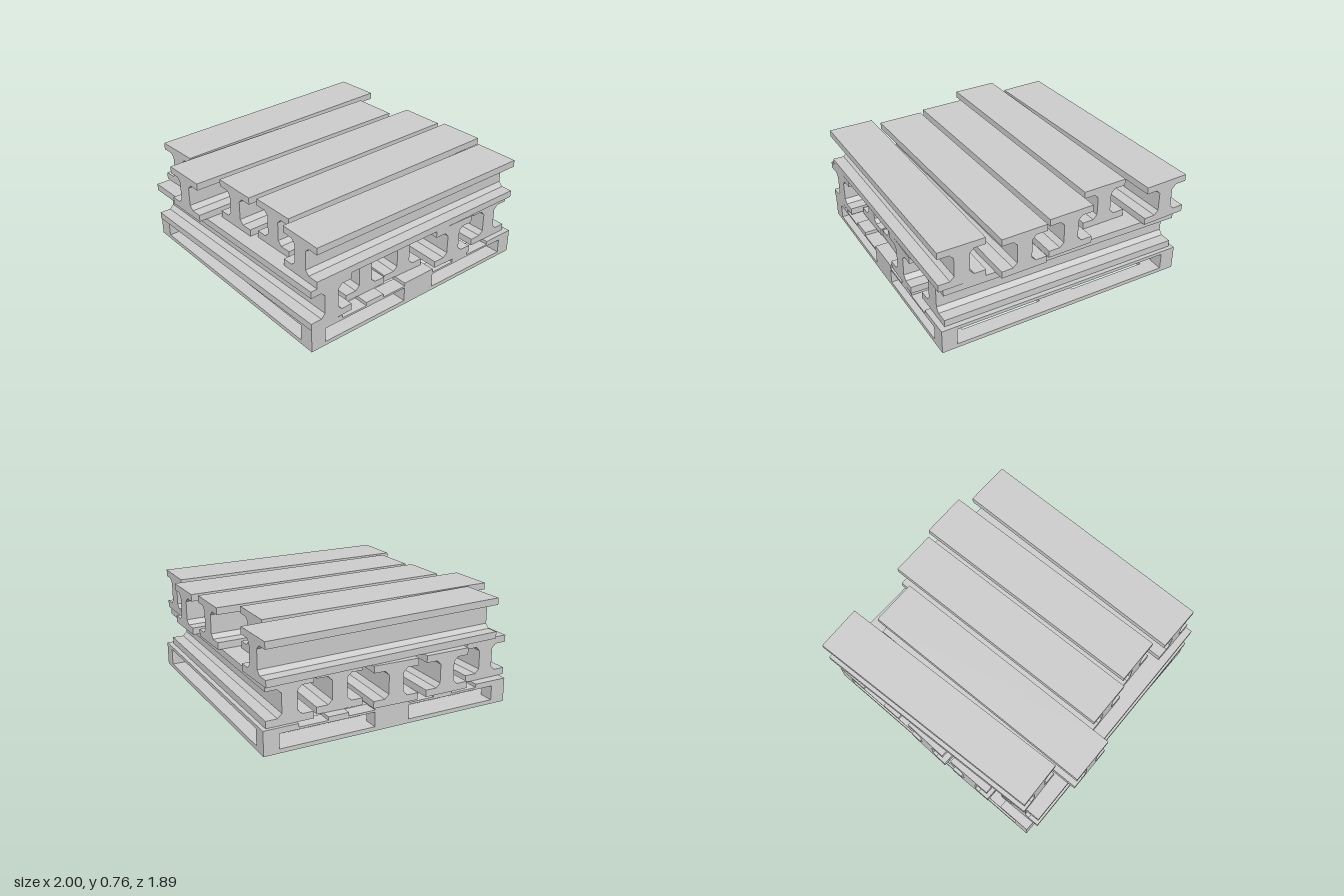
import * as THREE from 'three';

export function createModel() {
  const model = new THREE.Group();
  const material = new THREE.MeshStandardMaterial({ color: 0xcccccc, flatShading: true });

  // ---- Pallet: boards given by their x, y and z ranges ----
  const pallet = new THREE.Group();
  pallet.name = 'pallet';
  model.add(pallet);
  const board = (name, [x0, x1], [y0, y1], [z0, z1]) => {
    const mesh = new THREE.Mesh(new THREE.BoxGeometry(x1 - x0, y1 - y0, z1 - z0), material);
    mesh.position.set((x0 + x1) / 2, (y0 + y1) / 2, (z0 + z1) / 2);
    mesh.name = name;
    pallet.add(mesh);
  };
  const xMin = -0.91, xMax = 0.955, zMin = -0.915, zMax = 0.94;
  const columns = [[xMin, -0.8], [-0.11, 0.155], [0.845, xMax]];
  const ends = [[zMin, zMin + 0.11], [zMax - 0.11, zMax]];

  // bottom frame with a centre cross, cut as one sheet with four openings
  const sheet = new THREE.Shape([[xMin, zMin], [xMax, zMin], [xMax, zMax], [xMin, zMax]]
    .map(p => new THREE.Vector2(...p)));
  for (const [x0, x1] of [[-0.8, -0.11], [0.155, 0.845]]) {
    for (const [z0, z1] of [[zMin + 0.2, -0.12], [0.145, zMax - 0.2]]) {
      sheet.holes.push(new THREE.Path([[x0, z0], [x0, z1], [x1, z1], [x1, z0]]
        .map(p => new THREE.Vector2(...p))));
    }
  }
  const frameGeometry = new THREE.ExtrudeGeometry(sheet, { depth: 0.03, bevelEnabled: false });
  frameGeometry.rotateX(Math.PI / 2).translate(0, 0.03, 0);
  const frame = new THREE.Mesh(frameGeometry, material);
  frame.name = 'bottomFrame';
  pallet.add(frame);

  // blocks and cross boards at the front and back
  for (const z of ends) {
    for (const x of columns) board('block', x, [0.03, 0.135], z);
    board('crossBoard', [xMin, xMax], [0.135, 0.15], z);
  }

  // deck boards running front to back
  for (const x of [[xMin, -0.66], [-0.455, -0.305], [-0.11, 0.155], [0.35, 0.5], [0.71, xMax]]) {
    board('deckBoard', x, [0.15, 0.175], [zMin, zMax]);
  }

  // ---- I-beams: half profile mirrored, then extruded ----
  const length = 1.79, h = 0.295;
  const half = [[0.1675, 0], [0.1675, 0.05], [0.085, 0.05], [0.055, 0.08],
    [0.055, h - 0.08], [0.085, h - 0.05], [0.1675, h - 0.05], [0.1675, h]];
  const outline = [...half, ...half.map(([x, y]) => [-x, y]).reverse()];
  const beamGeometry = new THREE.ExtrudeGeometry(
    new THREE.Shape(outline.map(p => new THREE.Vector2(...p))),
    { depth: length, bevelEnabled: false }
  );
  beamGeometry.translate(0, 0, -length / 2);

  const layer = (name, y, turn, beams) => {
    const group = new THREE.Group();
    group.name = name;
    for (const [x, z, skew] of beams) {
      const beam = new THREE.Mesh(beamGeometry, material);
      beam.name = 'beam';
      beam.position.set(x, y, z);
      beam.rotation.y = turn + skew;
      group.add(beam);
    }
    model.add(group);
  };

  // each beam: centre x, centre z, slight skew
  layer('lowerBeams', 0.175, 0, [
    [-0.765, 0.045, 0.02], [-0.389, -0.045, 0.004], [-0.013, -0.05, -0.03],
    [0.362, 0.046, -0.022], [0.755, 0.005, -0.004]
  ]);
  layer('upperBeams', 0.175 + h, Math.PI / 2, [
    [0.03, 0.772, 0.003], [0.099, 0.38, 0.02], [0.058, 0.005, 0.02],
    [-0.103, -0.37, 0.019], [0.056, -0.745, 0.042]
  ]);

  return model;
}
